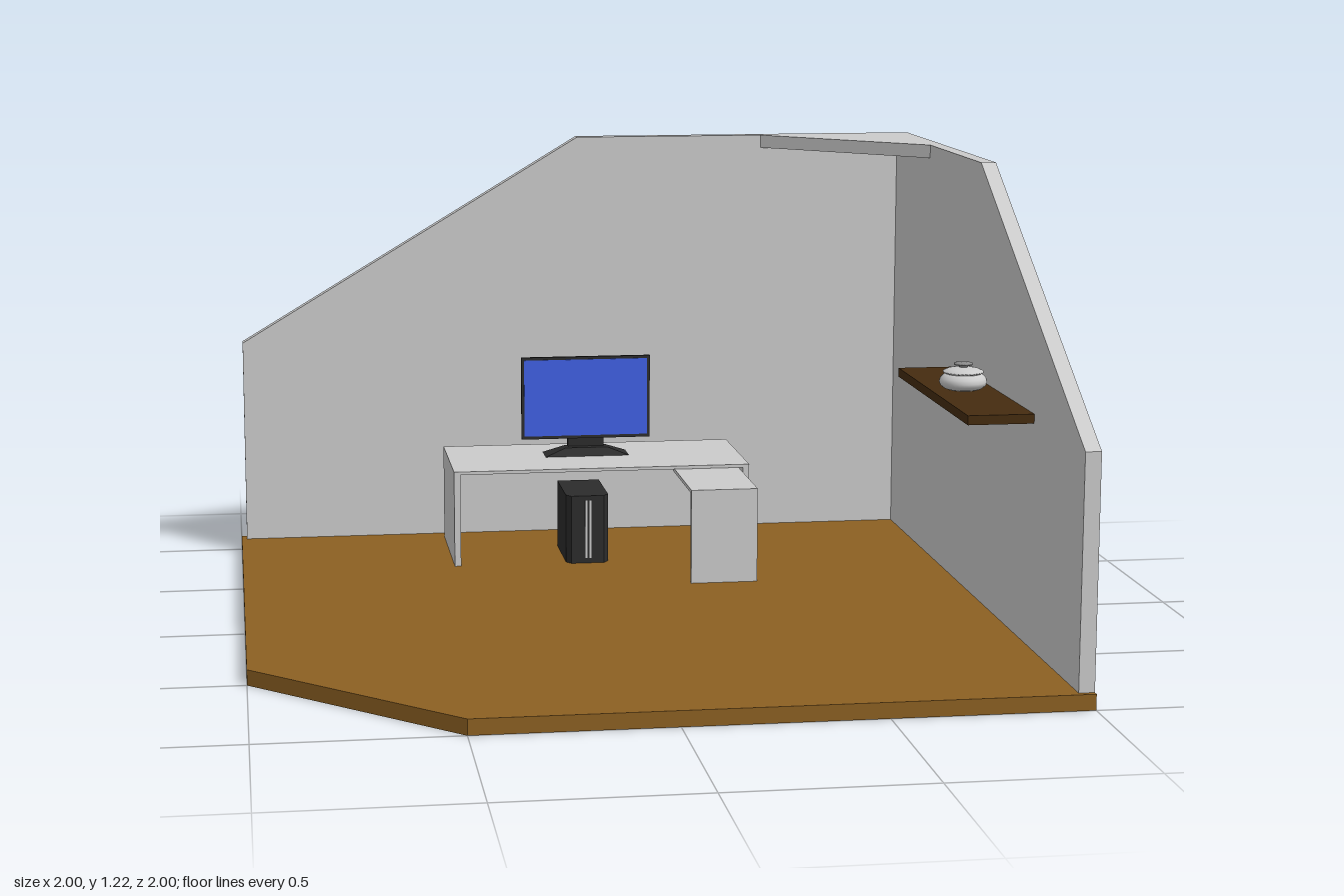
import * as THREE from 'three';

const paint = (color) => new THREE.MeshStandardMaterial({ color, flatShading: true });

export function createModel() {
  const room = new THREE.Group();
  room.name = 'officeCorner';
  const grey = paint(0xcccccc), wood = paint(0x8c6022), darkWood = paint(0x452c10);
  const black = paint(0x2c2c2c), charcoal = paint(0x444444), blue = paint(0x4060e4);

  function add(name, geometry, material, parent = room) {
    const mesh = new THREE.Mesh(geometry, material);
    mesh.name = name;
    parent.add(mesh);
    return mesh;
  }
  function group(name) {
    const g = new THREE.Group();
    g.name = name;
    room.add(g);
    return g;
  }
  // Box given by its lower and upper limits on each axis
  function box(name, x0, x1, y0, y1, z0, z1, material, parent) {
    const g = new THREE.BoxGeometry(x1 - x0, y1 - y0, z1 - z0);
    g.translate((x0 + x1) / 2, (y0 + y1) / 2, (z0 + z1) / 2);
    return add(name, g, material, parent);
  }
  const vectors = (points) => points.map(([x, y]) => new THREE.Vector2(x, y));
  function prism(points, depth) {
    return new THREE.ExtrudeGeometry(new THREE.Shape(vectors(points)), { depth, bevelEnabled: false });
  }
  // Thin band following an outline, open through the middle
  function band(points, depth, centreY) {
    const shape = new THREE.Shape(vectors(points));
    const inset = points.map(([x, y]) => [x * 0.996, centreY + (y - centreY) * 0.996]);
    shape.holes.push(new THREE.Path(vectors(inset)));
    return new THREE.ExtrudeGeometry(shape, { depth, bevelEnabled: false });
  }
  const flat = (plan) => plan.map(([x, z]) => [x, -z]);
  // Plan outline in (x, z), extruded upwards from y0 to y1
  function slab(name, plan, y0, y1, material, parent) {
    const g = prism(flat(plan), y1 - y0).rotateX(-Math.PI / 2).translate(0, y0, 0);
    return add(name, g, material, parent);
  }

  // Floor with one corner cut off, hollow underneath
  const floor = group('floor');
  const plan = [[-1, -1], [1, -1], [1, 1], [-0.5, 1], [-1, 0.5]];
  slab('floorTop', plan, 0.036, 0.04, wood, floor);
  add('floorRim', band(flat(plan), 0.04, 0).rotateX(-Math.PI / 2), wood, floor);

  // Hollow walls: full inner skin, edge band, outer skin left open below the slope
  const lower = 0.625, top = 1.215, end = 0.985, thick = 0.04, skin = 0.002;
  function wall(name, start) {
    const outline = [[start, 0.04], [end, 0.04], [end, lower], [0, top], [start, top]];
    const outer = [[start, 0.04], [end, 0.04], [end, lower], [0, lower], [0, top], [start, top]];
    const mirror = (points) => points.map(([u, y]) => [-u, y]);
    const g = group(name);
    add('innerSkin', prism(mirror(outline), skin), grey, g);
    add('edgeBand', band(mirror(outline), thick, 0.5), grey, g);
    add('outerSkin', prism(mirror(outer), skin).translate(0, 0, thick - skin), grey, g);
    return g;
  }
  const sideWall = wall('sideWall', -1);
  sideWall.rotation.y = Math.PI / 2;
  sideWall.position.x = 1 - thick;
  // The back wall is the same panel reflected, its outer skin facing backwards
  const backWall = wall('backWall', -0.96);
  backWall.scale.z = -1;
  backWall.position.z = thick - 1;
  slab('cornerBrace', [[0.545, -0.962], [0.962, -0.962], [0.962, -0.55]], 1.178, top, grey);

  // Desk with a side return
  const desk = group('desk');
  box('deskTop', -0.405, 0.44, 0.303, 0.312, -0.91, -0.525, grey, desk);
  for (const x of [-0.405, 0.422]) box('deskSide', x, x + 0.018, 0.03, 0.303, -0.91, -0.525, grey, desk);
  box('returnTop', 0.225, 0.41, 0.292, 0.302, -0.56, -0.232, grey, desk);
  box('returnPanel', 0.225, 0.41, 0.03, 0.292, -0.247, -0.232, grey, desk);

  // Monitor
  const monitor = group('monitor');
  box('monitorCase', -0.19, 0.185, 0.358, 0.598, -0.755, -0.745, black, monitor);
  box('monitorScreen', -0.182, 0.177, 0.367, 0.59, -0.746, -0.743, blue, monitor);
  box('monitorNeck', -0.055, 0.05, 0.325, 0.375, -0.766, -0.75, black, monitor);
  // Base plate narrowing towards its top
  const base = new THREE.CylinderGeometry(0.5, 1, 0.022, 4, 1);
  base.rotateY(Math.PI / 4).scale(0.122 * Math.SQRT2, 1, 0.042 * Math.SQRT2).translate(-0.003, 0.323, -0.747);
  add('monitorBase', base, black, monitor);

  // Computer tower with a chamfered front
  const tower = group('computerTower');
  slab('towerCase', [[-0.087, -0.74], [0.034, -0.74], [0.034, -0.535], [0.02, -0.515], [-0.073, -0.515], [-0.087, -0.535]], 0.03, 0.235, black, tower);
  for (const x of [-0.034, -0.022]) box('towerTrim', x, x + 0.006, 0.055, 0.222, -0.516, -0.513, grey, tower);

  // Wall shelf, its end passing just through the inner skin
  box('shelf', 0.79, 0.964, 0.614, 0.638, -0.185, 0.555, darkWood);

  // Lidded pot on the shelf
  const pot = group('pot');
  pot.position.set(0.877, 0.638, 0.173);
  const lathe = (name, profile, color) => add(name, new THREE.LatheGeometry(vectors(profile), 32),
    new THREE.MeshStandardMaterial({ color, side: THREE.DoubleSide }), pot);
  lathe('potBody', [[0, 0], [0.038, 0], [0.05, 0.004], [0.06, 0.012], [0.063, 0.021], [0.06, 0.031], [0.052, 0.039], [0.046, 0.042]], 0xcccccc);
  lathe('potLid', [[0.046, 0.042], [0.053, 0.045], [0.053, 0.049], [0.04, 0.055], [0.02, 0.059], [0, 0.06]], 0xcccccc);
  lathe('potKnob', [[0.012, 0.058], [0.012, 0.063], [0.024, 0.065], [0.024, 0.07], [0.012, 0.073], [0, 0.073]], 0x8a8a8a);

  return room;
}
